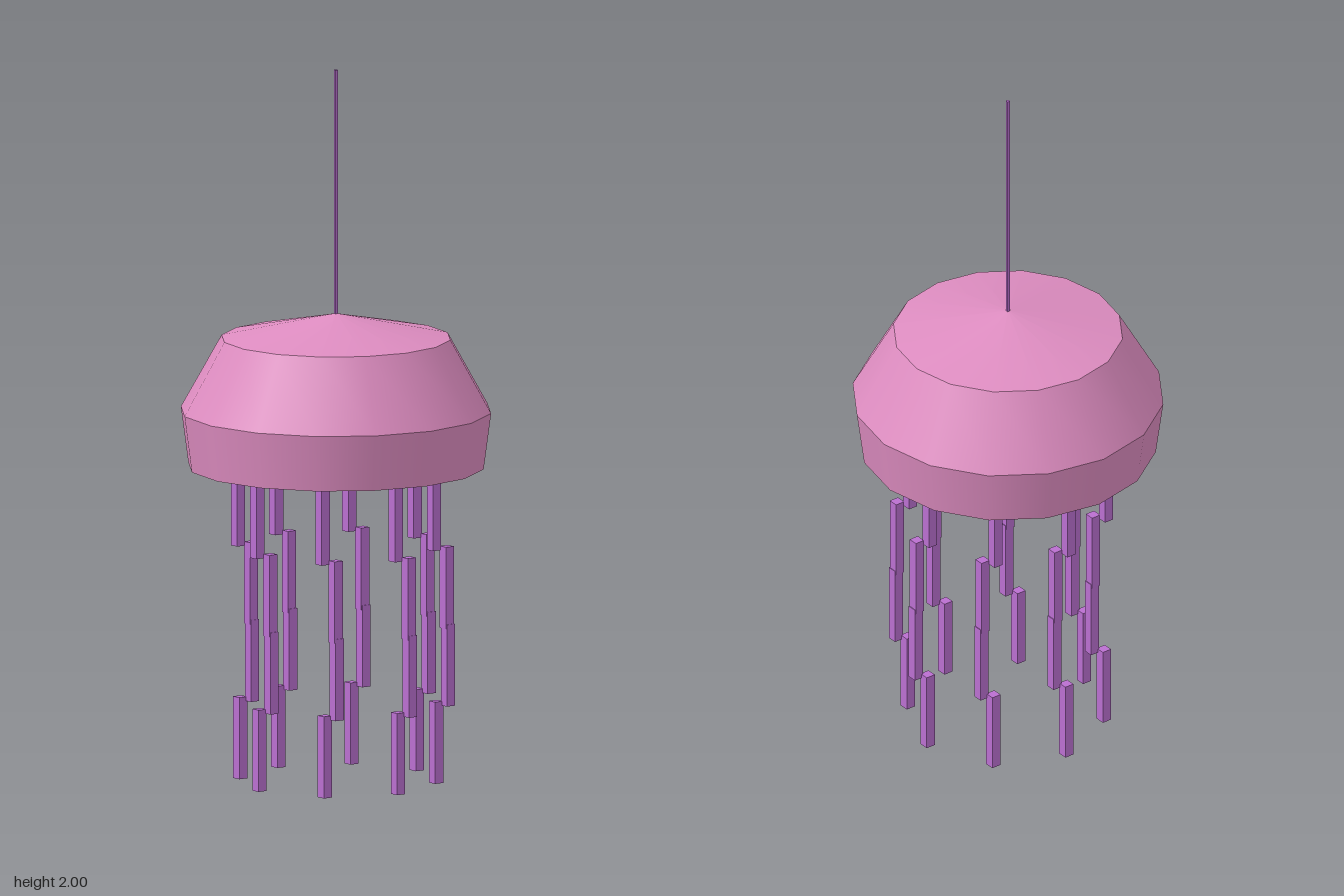
import * as THREE from 'three';

export function createModel() {
  const model = new THREE.Group();
  const pink = new THREE.MeshStandardMaterial({ color: 0xdd8cc0 });
  pink.name = 'pink';
  const purple = new THREE.MeshStandardMaterial({ color: 0xba6fd0, flatShading: true });
  purple.name = 'purple';

  // Bell: one lathe per band, smooth around with hard creases between bands
  const bell = new THREE.Group();
  bell.name = 'bell';
  const band = (name, points) => {
    const profile = points.map(([r, y]) => new THREE.Vector2(r, y));
    const mesh = new THREE.Mesh(new THREE.LatheGeometry(profile, 16), pink);
    mesh.name = name;
    bell.add(mesh);
  };
  band('underside', [[0, 0.93], [0.085, 0.922], [0.413, 0.885]]);
  band('rim', [[0.413, 0.885], [0.434, 1.043]]);
  band('shoulder', [[0.434, 1.043], [0.32, 1.247]]);
  band('cap', [[0.32, 1.247], [0, 1.315]]);
  model.add(bell);

  // Hanging cord
  const cord = new THREE.Mesh(new THREE.CylinderGeometry(0.006, 0.006, 0.7, 4), purple);
  cord.name = 'cord';
  cord.position.y = 1.65;
  model.add(cord);

  // Eight tentacles, each a wavy stack of four square segments
  const segmentGeometry = new THREE.CylinderGeometry(0.02, 0.02, 0.23, 4);
  for (let t = 0; t < 8; t++) {
    const angle = (t / 8) * Math.PI * 2;
    const tentacle = new THREE.Group();
    tentacle.name = 'tentacle' + (t + 1);
    tentacle.position.set(Math.cos(angle) * 0.274, 0, Math.sin(angle) * 0.274);
    for (let i = 0; i < 4; i++) {
      const segment = new THREE.Mesh(segmentGeometry, purple);
      segment.name = 'tentacleSegment';
      segment.position.set(Math.sin(i) * 0.043, 0.77 - i * 0.2183, 0);
      tentacle.add(segment);
    }
    model.add(tentacle);
  }
  return model;
}
